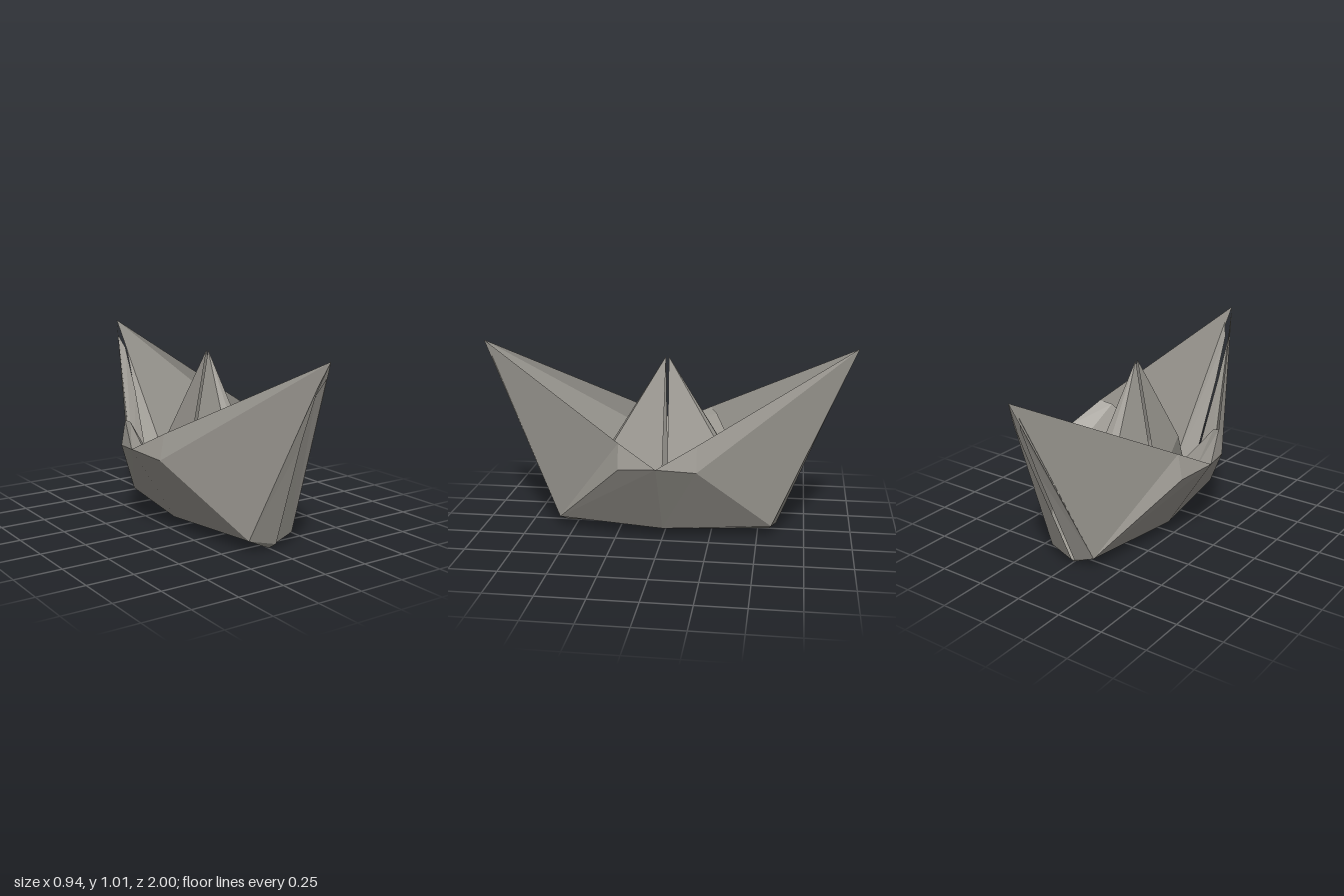
import * as THREE from 'three';

const paper = new THREE.MeshStandardMaterial({ color: 0xa09d96, side: THREE.DoubleSide });
paper.name = 'grey paper';

// Flat folded sheet: each face is a short list of corners, filled as a fan
function sheet(name, faces) {
  const pos = [];
  for (const f of faces)
    for (let i = 1; i < f.length - 1; i++) pos.push(...f[0], ...f[i], ...f[i + 1]);
  const g = new THREE.BufferGeometry();
  g.setAttribute('position', new THREE.Float32BufferAttribute(pos, 3));
  g.computeVertexNormals();
  const m = new THREE.Mesh(g, paper);
  m.name = name;
  return m;
}

// Mirror faces in x, reversing the corner order
const mirror = faces => faces.map(f => f.map(([x, y, z]) => [-x, y, z]).reverse());

// Front half of the boat, from midship (z = 0) to the tip
function halfBoat() {
  const half = new THREE.Group();
  const tip = [0, 1.01, 1], rimMid = [0.47, 0.465, 0], rim = [0.395, 0.575, 0.2];
  const knuckle = [0.42, 0.44, 0.2], chineMid = [0.215, 0.055, 0], foot = [0.135, 0.065, 0.575];
  const keelMid = [0, 0, 0], keelEnd = [0, 0, 0.56], stem = [0.015, 0.03, 0.6];
  const flipped = p => [-p[0], p[1], p[2]];
  const slit = 0.025;

  // outer side panels with the folded lower facet
  const side = [
    [foot, knuckle, rim, tip],
    [foot, chineMid, rimMid, knuckle],
    [knuckle, rimMid, rim],
  ];
  // shallow V bottom
  const bottom = [[keelMid, chineMid, foot, keelEnd]];
  // inner wall and floor around the sail
  const wellMid = [0.37, 0.4, 0], wellSide = [0.34, 0.55, 0.24];
  const sailFoot = [0, 0.15, 0.5], sailSide = [0.135, 0.25, 0.015];
  const well = [
    [rimMid, wellMid, wellSide, rim],
    [wellMid, sailSide, sailFoot, wellSide],
  ];
  // half of the split sail
  const peak = [0, 0.945, 0.008], fold = [0.065, 0.42, 0.32];
  const sail = [
    [peak, sailFoot, fold],
    [peak, fold, sailSide],
    [fold, sailFoot, sailSide],
  ];
  for (const [name, faces] of Object.entries({ sidePanel: side, bottom, innerWell: well, sail })) {
    half.add(sheet(name + 'Left', faces), sheet(name + 'Right', mirror(faces)));
  }

  // overlapping flap on one side of the bow, leaving a slit below the tip
  half.add(sheet('bowFlap', [
    [flipped(foot), stem, [-0.02, 0.6, 0.825], [-slit, 0.9, 0.95], tip],
    [flipped(foot), keelEnd, stem],
  ]));
  // tucked strip behind the flap
  half.add(sheet('bowStrip', [
    [foot, [0.02, 0.93, 0.955], [-0.01, 0.85, 0.915], [-0.015, 0.6, 0.81], [0.01, 0.02, 0.575]],
    [foot, [0.01, 0.02, 0.575], keelEnd],
  ]));
  return half;
}

export function createModel() {
  const boat = new THREE.Group();
  boat.name = 'paperBoat';
  // both ends are the same fold, turned half a circle
  ['frontHalf', 'backHalf'].forEach((name, i) => {
    const half = halfBoat();
    half.name = name;
    half.rotation.y = i * Math.PI;
    boat.add(half);
  });
  return boat;
}
